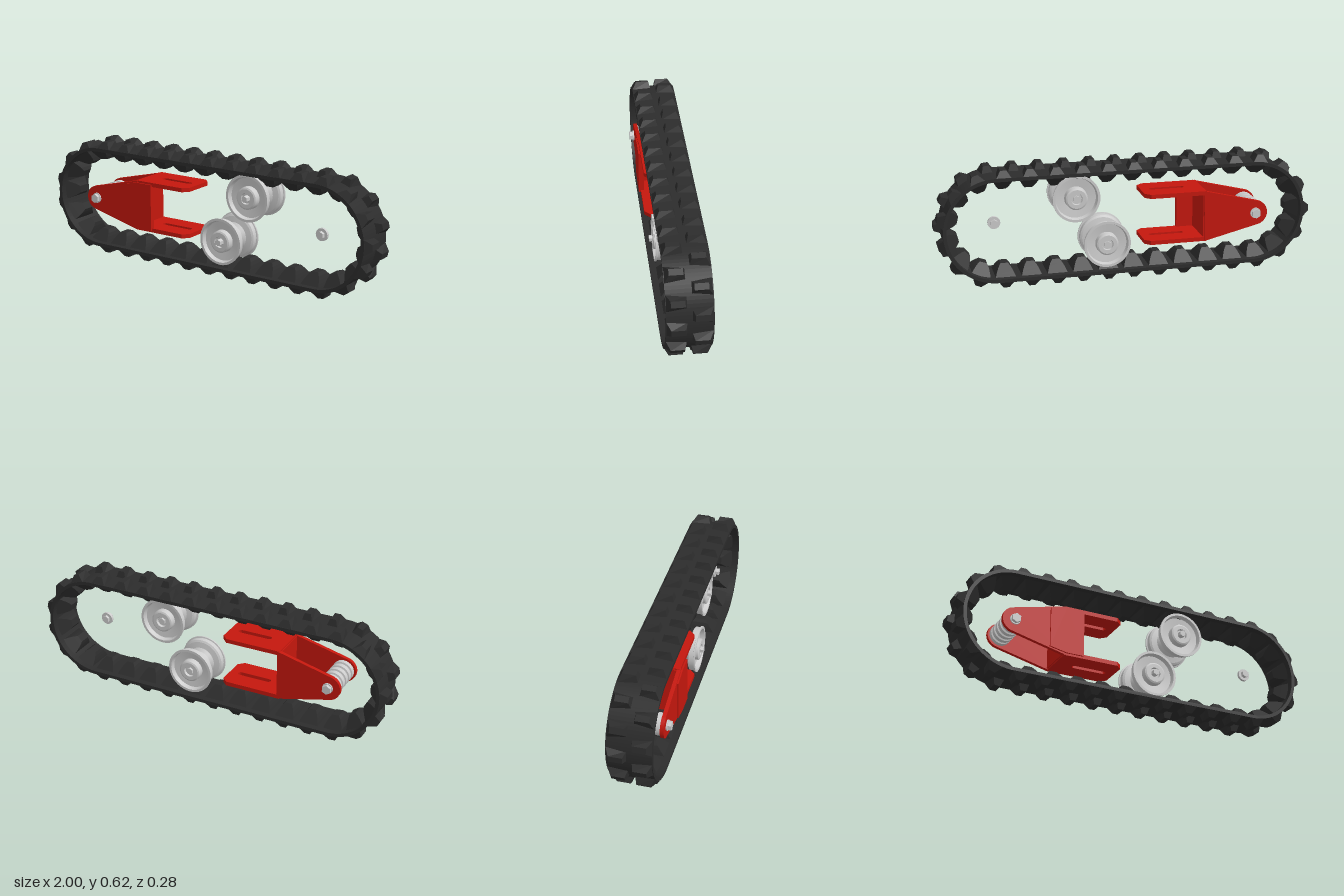
import * as THREE from 'three';

const CY = 0.3125;            // height of the track's centre line
const L = 0.685, R = 0.278;   // half distance between the end arcs, outer belt radius

const rubber = new THREE.MeshStandardMaterial({ color: 0x2c2c2c, flatShading: true });
const rubberSmooth = new THREE.MeshStandardMaterial({ color: 0x2c2c2c });
const red = new THREE.MeshStandardMaterial({ color: 0xc4170d });
const grey = new THREE.MeshStandardMaterial({ color: 0xcccccc });
const greyFlat = new THREE.MeshStandardMaterial({ color: 0xcccccc, flatShading: true });

function add(parent, name, geometry, material, x = 0, y = 0, z = 0) {
  const mesh = new THREE.Mesh(geometry, material);
  mesh.name = name;
  mesh.position.set(x, y, z);
  parent.add(mesh);
  return mesh;
}

// Moves the corners of a box by a rule: (sx, t, sz) with sx, sz = -1..1 and t = 0..1
function shapedBox(rows, rule) {
  const g = new THREE.BoxGeometry(2, 2, 2, 1, rows, 1);
  const p = g.attributes.position;
  for (let i = 0; i < p.count; i++) {
    p.setXYZ(i, ...rule(p.getX(i), (p.getY(i) + 1) / 2, p.getZ(i)));
  }
  g.computeVertexNormals();
  return g;
}

function extrude(shape, depth) {
  return new THREE.ExtrudeGeometry(shape, { depth, bevelEnabled: false, curveSegments: 24 });
}

function polygon(points) {
  return new THREE.Shape(points.map(([x, y]) => new THREE.Vector2(x, y)));
}

// Lathe turned so that its axis lies along z; points are [radius, z]
function latheZ(points, segments = 40) {
  const g = new THREE.LatheGeometry(points.map(([r, z]) => new THREE.Vector2(r, z)), segments);
  return g.rotateX(Math.PI / 2);
}

// Repeats inner profile points so that the edges stay sharp
function sharp(points) {
  return points.flatMap((p, i) => (i && i < points.length - 1 ? [p, p] : [p]));
}

function cylZ(r, z0, z1, sides = 32) {
  return new THREE.CylinderGeometry(r, r, z1 - z0, sides)
    .rotateX(Math.PI / 2).translate(0, 0, (z0 + z1) / 2);
}

function stadium(r, PathType) {
  const s = new PathType();
  s.absarc(L, 0, r, -Math.PI / 2, Math.PI / 2, false);
  s.absarc(-L, 0, r, Math.PI / 2, Math.PI * 1.5, false);
  s.closePath();
  return s;
}

// Position and outward angle at distance s round the belt, from its +x end
function onBelt(s) {
  const arc = Math.PI * R, quarter = arc / 2, run = 2 * L;
  if (s < quarter) return arcPoint(L, s / R);
  s -= quarter;
  if (s < run) return [L - s, R, Math.PI / 2];
  s -= run;
  if (s < arc) return arcPoint(-L, Math.PI / 2 + s / R);
  s -= arc;
  if (s < run) return [-L + s, -R, Math.PI * 1.5];
  return arcPoint(L, Math.PI * 1.5 + (s - run) / R);
}

function arcPoint(cx, a) {
  return [cx + R * Math.cos(a), R * Math.sin(a), a];
}

function buildTrack() {
  const track = new THREE.Group();
  track.name = 'track';
  const belt = stadium(R, THREE.Shape);
  belt.holes.push(stadium(R - 0.018, THREE.Path));
  add(track, 'belt', extrude(belt, 0.23).translate(0, 0, -0.115), rubberSmooth);

  // Tread blocks: root flares towards the belt's edge, top is narrower
  const tread = side => shapedBox(1, (sx, t, sz) => {
    const outer = sz * side > 0;
    const half = t ? 0.016 : outer ? 0.042 : 0.029;
    const z = outer ? (t ? 0.092 : 0.115) : (t ? 0.023 : 0.012);
    return [sx * half, t ? 0.0345 : -0.006, side * z];
  });
  // Guide lugs on the inside: rounded teeth
  const guide = shapedBox(4, (sx, t, sz) => {
    const d = 1 - t;
    return [sx * 0.054 * Math.sqrt(1 - 0.87 * d), -0.014 - 0.064 * d, sz * (0.085 - 0.055 * d)];
  });
  const leftTread = tread(1), rightTread = tread(-1);

  const count = 33, length = 4 * L + 2 * Math.PI * R;
  const place = (name, geometry, k) => {
    const [x, y, a] = onBelt(k * length / count);
    add(track, name, geometry, rubber, x, y).rotation.z = a - Math.PI / 2;
  };
  for (let k = 0; k < count; k++) {
    place('treadFront', leftTread, k);
    place('treadBack', rightTread, k + 0.5);
    place('guideLug', guide, k + 0.5);
  }
  return track;
}

// Double-flanged road wheel with hub and axle bolt
function buildWheel() {
  const wheel = new THREE.Group();
  wheel.name = 'roadWheel';
  const half = [[0.062, 0], [0.064, 0.025], [0.078, 0.04], [0.108, 0.046], [0.118, 0.052],
    [0.118, 0.078], [0.125, 0.08], [0.125, 0.088], [0.112, 0.088], [0.106, 0.064],
    [0.06, 0.058], [0.058, 0.09], [0.05, 0.094], [0.03, 0.094], [0.028, 0.08], [0, 0.08]];
  const back = half.slice(1).reverse().map(([r, z]) => [r, -z]);
  const profile = sharp([...back, ...half]);
  const body = add(wheel, 'wheelBody', latheZ(profile), grey);
  body.material = new THREE.MeshStandardMaterial({ color: 0xcccccc, side: THREE.DoubleSide });
  add(wheel, 'wheelBolt', cylZ(0.018, 0.075, 0.11, 6), greyFlat);
  add(wheel, 'wheelNut', cylZ(0.018, -0.092, -0.075, 6), greyFlat);
  return wheel;
}

function buildBracket() {
  const bracket = new THREE.Group();
  bracket.name = 'tensionBracket';
  const px = -0.69, r = 0.066, x1 = -0.41, h = 0.137;

  // Tapered side plates with a round nose
  const plate = new THREE.Shape();
  plate.moveTo(x1, -h);
  plate.lineTo(x1, h);
  plate.lineTo(px - 0.016 + 0.0, r - 0.002);
  plate.absarc(px, 0, r, Math.PI * 0.58, Math.PI * 1.42, false);
  plate.closePath();
  for (const z of [0.095, -0.115]) add(bracket, 'sidePlate', extrude(plate, 0.02), red, 0, 0, z);

  // Outer cheek, on the front only
  const cheek = polygon([[-0.5, -0.108], [-0.41, -0.127], [-0.315, -0.127],
    [-0.315, 0.127], [-0.41, 0.127], [-0.5, 0.108]]);
  add(bracket, 'cheekPlate', extrude(cheek, 0.008), red, 0, 0, 0.115);
  add(bracket, 'cheekWall', new THREE.BoxGeometry(0.095, 0.24, 0.02), red, -0.3625, 0, 0.105);
  add(bracket, 'crossWall', new THREE.BoxGeometry(0.02, 0.26, 0.21), red, -0.415, 0, 0);

  // Slotted arms with clipped corners
  const arm = polygon([[-0.42, -0.112], [-0.12, -0.112], [-0.09, -0.082],
    [-0.09, 0.082], [-0.12, 0.112], [-0.42, 0.112]]);
  const slot = new THREE.Path();
  slot.absarc(-0.15, 0, 0.014, -Math.PI / 2, Math.PI / 2, false);
  slot.absarc(-0.31, 0, 0.014, Math.PI / 2, Math.PI * 1.5, false);
  slot.closePath();
  arm.holes.push(slot);
  for (const y of [h, 0.022 - h]) {
    add(bracket, 'arm', extrude(arm, 0.022).rotateX(Math.PI / 2), red, 0, y, 0);
  }

  // Ridged roller and its through bolt
  const ridges = [[0, -0.092]];
  for (let i = 0; i < 5; i++) {
    const z = -0.092 + i * 0.04;
    ridges.push([0.057, z], [0.057, z + 0.024]);
    if (i < 4) ridges.push([0.042, z + 0.028], [0.042, z + 0.036]);
  }
  ridges.push([0, 0.092]);
  add(bracket, 'roller', latheZ(sharp(ridges)), grey, px);
  add(bracket, 'rollerAxle', cylZ(0.015, -0.13, 0.13), grey, px);
  for (const s of [1, -1]) {
    add(bracket, 'axleWasher', cylZ(0.028, -0.004, 0.004), grey, px, 0, s * 0.118);
    add(bracket, 'axleNut', cylZ(0.025, -0.01, 0.01, 6), greyFlat, px, 0, s * 0.13);
  }
  return bracket;
}

export function createModel() {
  const model = new THREE.Group();
  model.name = 'crawlerTrack';
  const assembly = new THREE.Group();
  assembly.name = 'assembly';
  assembly.position.y = CY;
  model.add(assembly);
  assembly.add(buildTrack(), buildBracket());

  for (const [x, y] of [[0.27, 0.135], [0.108, -0.123]]) {
    const wheel = buildWheel();
    wheel.position.set(x, y, 0);
    assembly.add(wheel);
  }

  // Loose end bolt with its washer
  add(assembly, 'endWasher', cylZ(0.033, 0.025, 0.04), grey, L, 0.003);
  add(assembly, 'endBolt', cylZ(0.02, 0.01, 0.06, 6), greyFlat, L, 0.003);
  return model;
}
